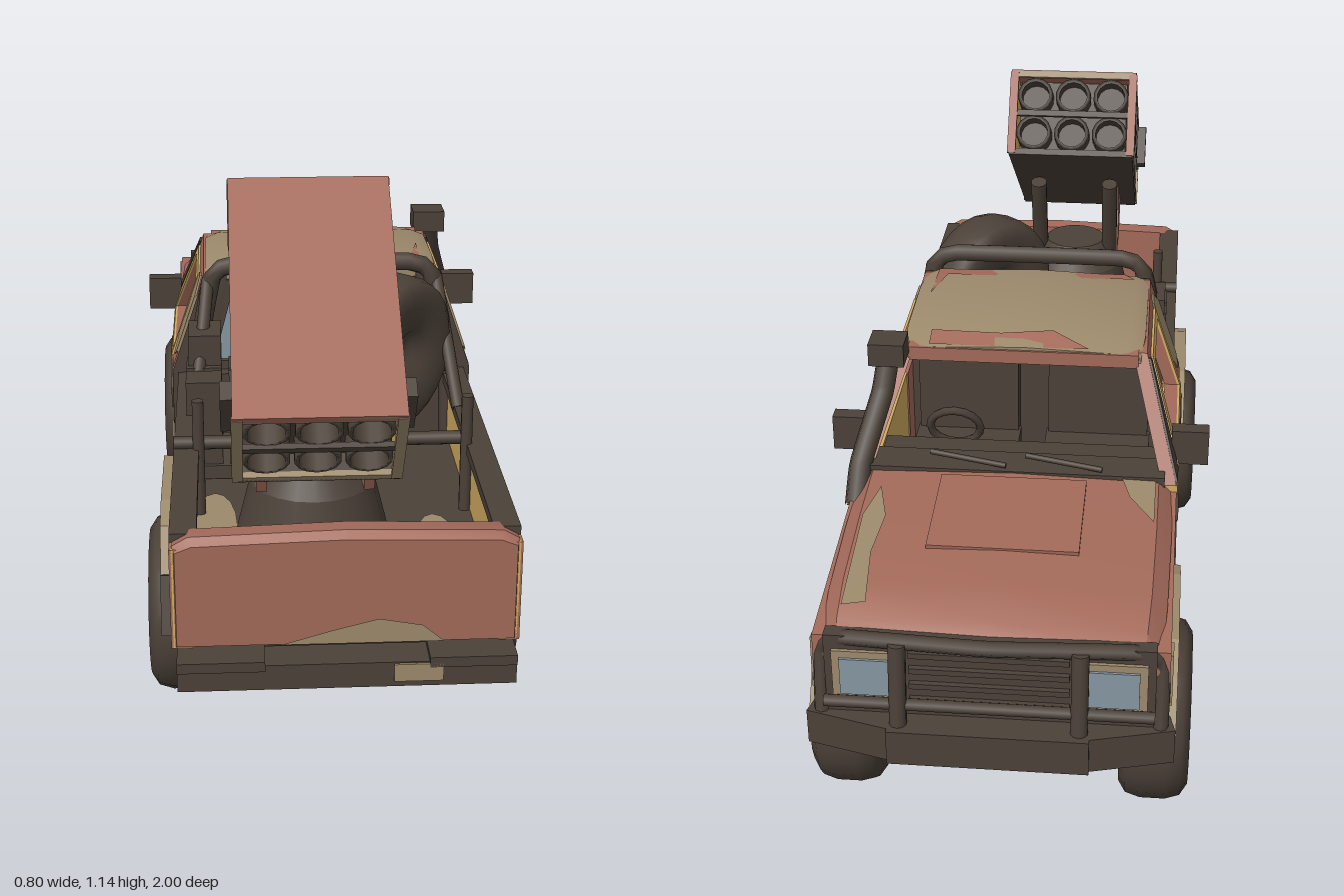
import * as THREE from 'three';
import { toCreasedNormals } from 'three/addons/utils/BufferGeometryUtils.js';

const mat = (name, color, side = THREE.FrontSide) => {
  const m = new THREE.MeshStandardMaterial({ color, side });
  m.name = name;
  return m;
};

export function createModel() {
  const root = new THREE.Group();
  root.name = 'pickupTruck';
  const red = mat('redBrown', 0xa36a5a, THREE.DoubleSide), sand = mat('sandYellow', 0xd2ad62);
  const tan = mat('tan', 0x9d8a6c, THREE.DoubleSide), dark = mat('darkBrown', 0x4b4138);
  const glass = mat('glass', 0x8797a3, THREE.DoubleSide);
  const V = (p) => new THREE.Vector3(...p);

  const add = (name, geo, m, pos = [0, 0, 0], parent = root) => {
    const mesh = new THREE.Mesh(geo, m);
    mesh.name = name;
    mesh.position.set(...pos);
    parent.add(mesh);
    return mesh;
  };
  const box = (name, m, size, pos, parent) => add(name, new THREE.BoxGeometry(...size), m, pos, parent);
  const poly = (pts) => new THREE.Shape(pts.map((p) => new THREE.Vector2(...p)));
  const lathe = (pts, n) => new THREE.LatheGeometry(pts.map((p) => new THREE.Vector2(...p)), n);
  const bar = (name, m, r, pts) => add(name, new THREE.TubeGeometry(
    new THREE.CatmullRomCurve3(pts.map(V), false, 'catmullrom', 0.15), pts.length * 5, r, 8), m);
  const strut = (name, m, r, a, b) => {
    const A = V(a), B = V(b), d = B.clone().sub(A);
    const mesh = add(name, new THREE.CylinderGeometry(r, r, d.length(), 10), m);
    mesh.position.copy(A).lerp(B, 0.5);
    mesh.quaternion.setFromUnitVectors(new THREE.Vector3(0, 1, 0), d.normalize());
    return mesh;
  };
  // Side panel: outline in (z, y), outer face at x, leaning inwards above the belt line
  const panel = (name, m, outline, x, depth, hole) => {
    for (const s of [-1, 1]) {
      const shape = poly(outline);
      if (hole) shape.holes.push(poly(hole));
      const geo = new THREE.ExtrudeGeometry(shape, { depth, bevelEnabled: false });
      geo.rotateY(-Math.PI / 2).translate(s > 0 ? x : depth - x, 0, 0);
      const p = geo.attributes.position;
      for (let i = 0; i < p.count; i++) p.setX(i, p.getX(i) - s * Math.max(0, p.getY(i) - 0.58) * 0.34);
      geo.computeVertexNormals();
      add((s > 0 ? 'left ' : 'right ') + name, geo, m);
    }
  };
  // Closed loft through rings of [x, y], each at its own z (decreasing)
  const loft = (name, m, rings) => {
    const n = rings[0].pts.length, pos = [], idx = [];
    rings.forEach((r) => r.pts.forEach(([x, y]) => pos.push(x, y, r.z)));
    for (let k = 0; k < rings.length - 1; k++) for (let i = 0; i < n; i++) {
      const a = k * n + i, b = k * n + (i + 1) % n;
      idx.push(a, b, a + n, b, b + n, a + n);
    }
    const e = (rings.length - 1) * n;
    for (let i = 1; i < n - 1; i++) idx.push(0, i + 1, i, e, e + i, e + i + 1);
    const geo = new THREE.BufferGeometry();
    geo.setAttribute('position', new THREE.Float32BufferAttribute(pos, 3));
    geo.setIndex(idx);
    return add(name, toCreasedNormals(geo, 0.6), m);
  };
  // Crowned section, listed clockwise as seen from +z
  const crown = (z, w, y, low, edge) => ({ z, pts: [[-w, low], [-w, y - edge], [-w + 0.03, y - 0.008], [0, y],
    [w - 0.03, y - 0.008], [w, y - edge], [w, low]] });
  // Thin paint draped on a crowned surface, outline in (x, z)
  const drape = (name, m, outline, height) => {
    const geo = new THREE.ShapeGeometry(poly(outline)), p = geo.attributes.position;
    for (let i = 0; i < p.count; i++) {
      const x = p.getX(i), z = p.getY(i);
      p.setXYZ(i, x, height(x, z) + 0.004, z);
    }
    geo.computeVertexNormals();
    add(name, geo, m);
  };

  // Wheels
  const tread = [[0.12, -0.068], [0.155, -0.07], [0.178, -0.055], [0.187, -0.025],
    [0.187, 0.025], [0.178, 0.055], [0.155, 0.07], [0.12, 0.068]];
  const tyreGeo = lathe([[0.085, 0], [0.09, -0.05], ...tread, [0.09, 0.05], [0.085, 0]], 24);
  for (const s of [-1, 1]) for (const z of [0.45, -0.655]) {
    const g = new THREE.Group();
    g.name = z > 0 ? 'rearWheel' : 'frontWheel';
    add('tyre', tyreGeo, dark, [0, 0, 0], g);
    add('rim', new THREE.CylinderGeometry(0.094, 0.094, 0.08, 24), tan, [0, 0, 0], g);
    add('rim dish', new THREE.CylinderGeometry(0.076, 0.076, 0.088, 12), dark, [0, 0, 0], g);
    add('hub', new THREE.CylinderGeometry(0.03, 0.035, 0.12, 10), dark, [0, 0, 0], g);
    for (let i = 0; i < 6; i++) {
      const a = i * Math.PI / 3;
      box('wheel stud', tan, [0.018, 0.094, 0.018], [0.055 * Math.cos(a), 0, 0.055 * Math.sin(a)], g);
    }
    g.rotation.z = Math.PI / 2;
    g.position.set(s * 0.31, 0.187, z);
    root.add(g);
  }
  const spare = add('spareWheel', lathe([[0, -0.03], [0.04, -0.035], [0.06, -0.06], ...tread, [0.06, 0.06],
    [0.04, 0.035], [0, 0.03]], 24), dark, [0.135, 0.69, 0.3]);
  spare.rotation.set(0, -0.72, Math.PI / 2);
  spare.scale.setScalar(0.88);

  // Chassis
  for (const z of [0.45, -0.655]) {
    strut('axle', dark, 0.022, [-0.26, 0.19, z], [0.26, 0.19, z]);
    add('differential', new THREE.SphereGeometry(0.065, 12, 8), dark, [0.01, 0.195, z]);
    for (const s of [-1, 1]) {
      bar('leafSpring', dark, 0.016, [[s * 0.2, 0.3, z - 0.24], [s * 0.2, 0.225, z], [s * 0.2, 0.3, z + 0.24]]);
      strut('damper', dark, 0.015, [s * 0.18, 0.2, z + 0.03], [s * 0.16, 0.38, z + 0.08]);
    }
  }
  for (const s of [-1, 1]) box('frameRail', dark, [0.06, 0.07, 1.84], [s * 0.17, 0.3, 0.02]);
  strut('driveShaft', dark, 0.018, [0.01, 0.2, 0.45], [0.03, 0.27, -0.15]);
  strut('frontDriveShaft', dark, 0.018, [0.03, 0.27, -0.15], [0.01, 0.2, -0.65]);
  box('gearbox', dark, [0.16, 0.1, 0.34], [0.02, 0.28, -0.28]);
  box('engineBay', dark, [0.44, 0.2, 0.48], [0, 0.38, -0.67]);
  strut('exhaust', dark, 0.018, [-0.24, 0.28, -0.2], [-0.24, 0.29, 0.7]);

  // Hood and front fenders
  loft('hood', red, [crown(-0.42, 0.328, 0.6, 0.43, 0.04), crown(-0.6, 0.328, 0.588, 0.43, 0.035),
    crown(-0.8, 0.325, 0.572, 0.43, 0.035), crown(-0.9, 0.32, 0.552, 0.43, 0.04), crown(-0.925, 0.315, 0.53, 0.43, 0.03)]);
  const hoodY = (x, z) => 0.6 + (z + 0.42) * 0.073 - 0.008 * Math.abs(x) / 0.295;
  drape('hood tan strip', tan, [[0.24, -0.87], [0.285, -0.88], [0.292, -0.6], [0.27, -0.5], [0.245, -0.6], [0.255, -0.72]], hoodY);
  drape('hood tan corner', tan, [[-0.292, -0.58], [-0.24, -0.5], [-0.22, -0.43], [-0.292, -0.43]], hoodY);
  box('hoodScoop', red, [0.3, 0.012, 0.24], [0, 0.587, -0.58]).rotation.x = -0.073;
  panel('frontFender', red, [[-0.43, 0.3], [-0.46, 0.3], [-0.5, 0.39], [-0.6, 0.42], [-0.7, 0.42], [-0.8, 0.39],
    [-0.85, 0.33], [-0.93, 0.36], [-0.92, 0.52], [-0.43, 0.565]], 0.335, 0.03);
  panel('fender front patch', tan, [[-0.82, 0.4], [-0.92, 0.4], [-0.915, 0.51], [-0.86, 0.5]], 0.34, 0.006);
  panel('fender dark patch', dark, [[-0.43, 0.51], [-0.43, 0.56], [-0.52, 0.553], [-0.47, 0.53]], 0.34, 0.006);
  const outer = [[0.675, 0.32], [0.6, 0.435], [0.53, 0.46], [0.31, 0.46], [0.24, 0.42], [0.17, 0.32]];
  const inner = [[0.25, 0.32], [0.3, 0.37], [0.39, 0.394], [0.51, 0.394], [0.6, 0.36], [0.64, 0.32]];
  for (const dz of [0, -1.105]) panel(dz ? 'frontWheelFlare' : 'rearWheelFlare', tan,
    [...outer, ...inner].map(([z, y]) => [z + dz, y]), 0.35, 0.06);

  // Grille, lights, bumper and bull bar
  box('grille', dark, [0.62, 0.18, 0.03], [0, 0.445, -0.925]);
  for (let i = 0; i < 4; i++) box('grilleSlat', dark, [0.3, 0.012, 0.012], [0, 0.4 + i * 0.035, -0.945]);
  for (const s of [-1, 1]) {
    box('headlightFrame', tan, [0.13, 0.11, 0.01], [s * 0.23, 0.45, -0.942]);
    box('headlight', glass, [0.1, 0.08, 0.008], [s * 0.23, 0.45, -0.948]);
    box('bumperEnd', dark, [0.17, 0.075, 0.09], [s * 0.255, 0.325, -0.925]).rotation.y = s * -0.25;
    strut('bullBarPost', dark, 0.017, [s * 0.17, 0.3, -0.975], [s * 0.17, 0.53, -0.95]);
  }
  box('frontBumper', dark, [0.38, 0.075, 0.09], [0, 0.325, -0.953]);
  box('skidPlate', dark, [0.5, 0.02, 0.45], [0, 0.28, -0.72]);
  bar('bullBarHoop', dark, 0.015, [[-0.32, 0.34, -0.94], [-0.32, 0.49, -0.91], [-0.27, 0.525, -0.93], [0, 0.53, -0.95],
    [0.27, 0.525, -0.93], [0.32, 0.49, -0.91], [0.32, 0.34, -0.94]]);
  strut('bullBarRung', dark, 0.012, [-0.31, 0.4, -0.96], [0.31, 0.4, -0.96]);

  // Cab
  box('cabFloor', dark, [0.6, 0.05, 0.53], [0, 0.29, -0.165]);
  box('firewall', dark, [0.62, 0.28, 0.03], [0, 0.44, -0.42]);
  panel('door', sand, [[0.015, 0.28], [0.015, 0.58], [-0.43, 0.58], [-0.43, 0.4], [-0.4, 0.28]], 0.337, 0.04);
  panel('cabCorner', red, [[0.1, 0.26], [0.1, 0.58], [0.015, 0.58], [0.015, 0.26]], 0.334, 0.04);
  panel('cabCorner patch', tan, [[0.1, 0.26], [0.1, 0.4], [0.07, 0.44], [0.015, 0.35], [0.015, 0.26]], 0.338, 0.006);
  panel('door upper patch', dark, [[0.012, 0.45], [0.012, 0.5], [-0.02, 0.575], [-0.13, 0.575], [-0.1, 0.52], [-0.05, 0.5]], 0.341, 0.006);
  panel('door lower patch', dark, [[-0.16, 0.36], [-0.25, 0.335], [-0.36, 0.34], [-0.38, 0.3], [-0.24, 0.3]], 0.341, 0.006);
  panel('rocker', dark, [[0.2, 0.24], [0.2, 0.28], [-0.44, 0.28], [-0.44, 0.23]], 0.325, 0.06);
  const windowHole = [[-0.005, 0.59], [-0.005, 0.755], [-0.205, 0.755], [-0.3, 0.59]];
  panel('cabFrame', red, [[0.1, 0.58], [0.1, 0.8], [-0.245, 0.79], [-0.43, 0.58]], 0.334, 0.03, windowHole);
  panel('cabPillar patch', tan, [[0.1, 0.62], [0.1, 0.75], [0.06, 0.785], [0.02, 0.78], [0.02, 0.64], [0.06, 0.6]], 0.338, 0.006);
  panel('windowFrame', sand, [[0.015, 0.581], [0.015, 0.772], [-0.22, 0.77], [-0.35, 0.581]], 0.339, 0.006, windowHole);
  panel('windscreenPillar patch', dark, [[-0.235, 0.775], [-0.36, 0.585], [-0.425, 0.585], [-0.25, 0.78]], 0.339, 0.006);
  panel('cabRearEdge', dark, [[0.118, 0.28], [0.118, 0.58], [0.11, 0.8], [0.1, 0.8], [0.1, 0.28]], 0.333, 0.05);
  loft('roof', tan, [crown(0.105, 0.255, 0.815, 0.785, 0.02), crown(0, 0.257, 0.826, 0.785, 0.02),
    crown(-0.18, 0.257, 0.82, 0.78, 0.02), crown(-0.26, 0.25, 0.8, 0.77, 0.016)]);
  const roofY = (x, z) => (z > 0 ? 0.826 - z * 0.105 : z > -0.18 ? 0.826 + z * 0.034 : 0.82 + (z + 0.18) * 0.25)
    - 0.008 * Math.abs(x) / 0.227;
  drape('roof rear patch', red, [[-0.225, 0.07], [-0.2, 0.1], [0.225, 0.1], [0.225, -0.05], [0.2, 0.06]], roofY);
  drape('roof front patch', red, [[-0.14, -0.256], [0.2, -0.256], [0.2, -0.21], [0.05, -0.22], [-0.06, -0.205]], roofY);
  box('windscreenHeader', red, [0.49, 0.03, 0.03], [0, 0.778, -0.25]);
  box('cowl', dark, [0.62, 0.03, 0.08], [0, 0.587, -0.4]);
  for (const s of [-1, 1]) strut('wiper', dark, 0.006, [s * 0.1 - 0.08, 0.61, -0.43], [s * 0.1 + 0.08, 0.625, -0.41]);
  const back = poly([[-0.31, 0.3], [0.31, 0.3], [0.31, 0.58], [0.25, 0.79], [-0.25, 0.79], [-0.31, 0.58]]);
  const paneShape = poly([[-0.24, 0.6], [0.24, 0.6], [0.2, 0.75], [-0.2, 0.75]]);
  back.holes.push(paneShape);
  add('cabBack', new THREE.ExtrudeGeometry(back, { depth: 0.025, bevelEnabled: false }), dark, [0, 0, 0.085]);
  add('rearWindow', new THREE.ShapeGeometry(paneShape), glass, [0, 0, 0.098]);
  box('dashboard', dark, [0.58, 0.09, 0.1], [0, 0.55, -0.35]);
  for (const s of [-1, 1]) {
    box('seatBase', dark, [0.24, 0.1, 0.2], [s * 0.15, 0.4, -0.08]);
    box('seatBack', dark, [0.23, 0.24, 0.06], [s * 0.15, 0.52, 0.03]);
    box('headrest', dark, [0.12, 0.1, 0.04], [s * 0.15, 0.67, 0.04]);
    strut('mirrorArm', dark, 0.009, [s * 0.31, 0.6, -0.33], [s * 0.35, 0.61, -0.33]);
    box('mirror', dark, [0.078, 0.078, 0.035], [s * 0.36, 0.62, -0.325]);
  }
  add('steeringWheel', new THREE.TorusGeometry(0.055, 0.009, 6, 16), dark, [0.15, 0.59, -0.24]).rotation.x = -0.4;

  // Snorkel
  bar('snorkelPipe', dark, 0.024, [[0.325, 0.54, -0.5], [0.325, 0.6, -0.43], [0.29, 0.72, -0.335], [0.28, 0.79, -0.3]]);
  box('snorkelHead', dark, [0.075, 0.05, 0.07], [0.28, 0.805, -0.3]);

  // Cargo bed
  box('bedFloor', dark, [0.6, 0.04, 0.8], [0, 0.41, 0.52]);
  box('bedUnderframe', dark, [0.46, 0.1, 0.8], [0, 0.35, 0.52]);
  box('bedFrontWall', dark, [0.6, 0.22, 0.03], [0, 0.47, 0.125]);
  panel('bedSide', sand, [[0.115, 0.3], [0.115, 0.56], [0.95, 0.56], [0.95, 0.36], [0.66, 0.35], [0.6, 0.42],
    [0.3, 0.42], [0.22, 0.3]], 0.316, 0.035);
  panel('bed rear patch', red, [[0.95, 0.36], [0.95, 0.56], [0.9, 0.56], [0.91, 0.44], [0.9, 0.36]], 0.32, 0.006);
  panel('bed middle patch', dark, [[0.4, 0.5], [0.45, 0.46], [0.63, 0.46], [0.56, 0.5], [0.64, 0.52], [0.44, 0.53]], 0.32, 0.006);
  panel('bed front patch', dark, [[0.118, 0.45], [0.118, 0.54], [0.42, 0.545], [0.4, 0.5], [0.2, 0.49]], 0.32, 0.006);
  panel('bed tan patch', tan, [[0.118, 0.31], [0.118, 0.45], [0.2, 0.48], [0.25, 0.43], [0.21, 0.31]], 0.32, 0.006);
  panel('bedRail', dark, [[0.115, 0.555], [0.115, 0.577], [0.92, 0.577], [0.92, 0.555]], 0.32, 0.05);
  loft('tailgate', red, [crown(0.955, 0.31, 0.575, 0.365, 0.02), crown(0.94, 0.315, 0.588, 0.36, 0.025),
    crown(0.9, 0.313, 0.585, 0.36, 0.025)]);
  add('tailgate patch', new THREE.ShapeGeometry(poly([[-0.12, 0.366], [0.18, 0.366], [0.14, 0.4], [0.06, 0.415],
    [-0.02, 0.395]])), tan, [0, 0, 0.959]);
  for (const [x, z] of [[0.2, 0.72], [-0.24, 0.6]]) {
    const patch = add('bedFloor patch', new THREE.CircleGeometry(1, 16), tan, [x, 0.434, z]);
    patch.rotation.x = -Math.PI / 2;
    patch.scale.set(0.045, 0.15, 1);
  }
  box('rearBumper', dark, [0.62, 0.05, 0.07], [0, 0.32, 0.96]);
  box('rearBumper patch', tan, [0.09, 0.035, 0.008], [0.13, 0.325, 0.996]);
  for (const s of [-1, 1]) {
    box('rearStep', dark, [0.16, 0.02, 0.09], [s * 0.23, 0.345, 0.955]);
    box('mudFlap', dark, [0.12, 0.12, 0.012], [s * 0.29, 0.3, 0.68]).rotation.x = -0.35;
    strut('rollBarBrace', dark, 0.014, [s * 0.25, 0.8, 0.14], [s * 0.28, 0.57, 0.34]);
    strut('bedPost', dark, 0.012, [s * 0.27, 0.42, 0.54], [s * 0.27, 0.68, 0.54]);
  }
  bar('rollBar', dark, 0.02, [[-0.285, 0.43, 0.14], [-0.28, 0.6, 0.14], [-0.24, 0.81, 0.14], [-0.19, 0.835, 0.14],
    [0.19, 0.835, 0.14], [0.24, 0.81, 0.14], [0.28, 0.6, 0.14], [0.285, 0.43, 0.14]]);
  strut('crossRail', dark, 0.014, [-0.32, 0.585, 0.53], [0.28, 0.585, 0.53]);
  strut('spareCradle', dark, 0.014, [-0.02, 0.62, 0.42], [0.28, 0.62, 0.2]);
  box('canRack', dark, [0.19, 0.03, 0.18], [-0.215, 0.45, 0.29]);
  for (let i = 0; i < 4; i++) box('fuelCan', dark, [0.075, 0.2, 0.07], [-0.26 + (i % 2) * 0.09, 0.55, 0.25 + (i >> 1) * 0.085]);
  box('ammoBox', dark, [0.07, 0.085, 0.1], [-0.258, 0.675, 0.22]);

  // Launcher mount
  add('turretBase', new THREE.CylinderGeometry(0.12, 0.16, 0.16, 20), dark, [-0.05, 0.505, 0.7]);
  add('turretHead', new THREE.CylinderGeometry(0.075, 0.12, 0.06, 20), dark, [-0.05, 0.615, 0.7]);
  box('turret patch', red, [0.1, 0.05, 0.008], [-0.07, 0.55, 0.566]).rotation.x = 0.24;
  for (const s of [-1, 1]) {
    const yoke = new THREE.ExtrudeGeometry(poly([[0.72, 0.6], [0.82, 0.61], [0.87, 0.7], [0.7, 0.8], [0.76, 0.7]]),
      { depth: 0.02, bevelEnabled: false });
    add('yokeArm', yoke.rotateY(-Math.PI / 2), red, [-0.04 + s * 0.1, 0, 0]);
    strut('elevationStrut', dark, 0.02, [-0.05 + s * 0.09, 0.58, 0.7], [-0.05 + s * 0.09, 0.83, 0.61]);
  }

  // Tube launcher, tilted upwards: one flank plated, the other an open frame
  const pod = new THREE.Group();
  pod.name = 'launcherPod';
  pod.position.set(-0.05, 0.9, 0.724);
  pod.rotation.x = 0.6;
  root.add(pod);
  box('podTop', red, [0.304, 0.014, 0.54], [0, 0.099, 0], pod);
  box('podBottom', dark, [0.3, 0.014, 0.54], [0, -0.097, 0], pod);
  box('podSide', sand, [0.014, 0.184, 0.54], [0.144, 0, 0], pod);
  box('podSide strap', dark, [0.006, 0.15, 0.025], [0.15, -0.02, 0.17], pod);
  box('podSide patch', dark, [0.006, 0.03, 0.08], [0.15, -0.08, 0.1], pod);
  for (const y of [-0.088, 0, 0.088]) box('openSideRail', y ? tan : dark, [0.016, 0.014, 0.54], [-0.144, y, 0], pod);
  for (const z of [-0.13, 0, 0.13]) {
    box('openSidePost', dark, [0.016, 0.18, z ? 0.012 : 0.025], [-0.144, 0, z], pod);
  }
  for (const s of [-1, 1]) {
    box('podCollar', dark, [0.025, 0.1, 0.04], [s * 0.16, 0.04, 0.2], pod);
    for (const e of [-1, 1]) box('podEndTrim', e < 0 ? red : tan, [0.02, 0.2, 0.012], [s * 0.144, 0, e * 0.266], pod);
  }
  for (const e of [-1, 1]) for (const y of [-0.096, 0, 0.096])
    box('podEndRail', y === 0 ? dark : tan, [0.28, 0.014, 0.012], [0, y, e * 0.264], pod);
  box('podCore', dark, [0.26, 0.18, 0.44], [0, 0, 0], pod);
  for (let i = 0; i < 6; i++) {
    const ring = lathe([[0.034, -0.262], [0.043, -0.262], [0.043, 0.262], [0.034, 0.262], [0.034, -0.262]], 14);
    add('launchTube', ring.rotateX(Math.PI / 2), dark, [(i % 3 - 1) * 0.092, i < 3 ? 0.046 : -0.046, 0], pod);
  }
  return root;
}
